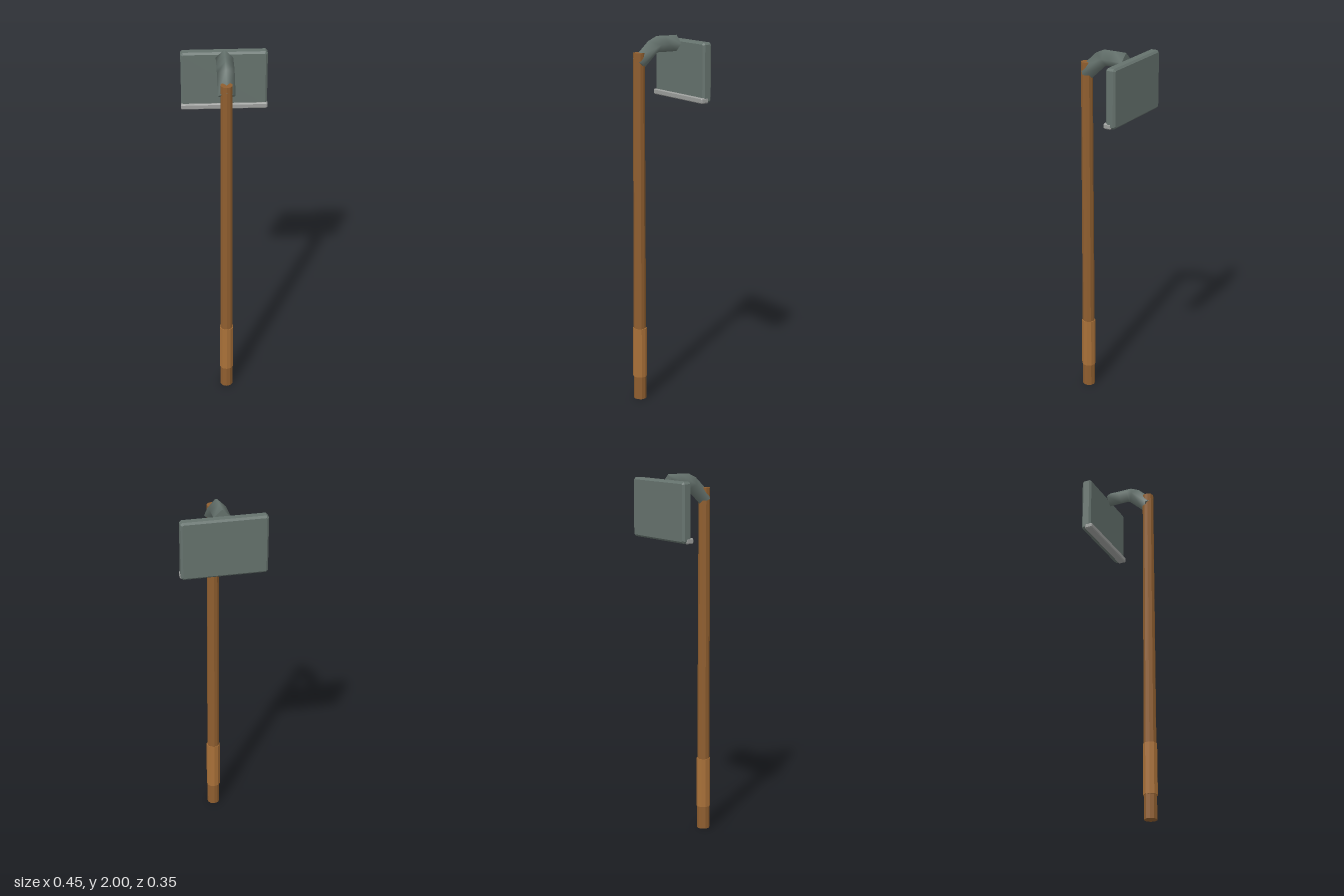
import * as THREE from 'three';

const POLE_Z = 0.135;
const wood = new THREE.MeshStandardMaterial({ color: 0x8f5e2f, flatShading: true });
const gripWood = new THREE.MeshStandardMaterial({ color: 0xa87038, flatShading: true });
const slate = new THREE.MeshStandardMaterial({ color: 0x65726d, flatShading: true });
const slateSmooth = new THREE.MeshStandardMaterial({ color: 0x65726d, side: THREE.DoubleSide });
const paleGrey = new THREE.MeshStandardMaterial({ color: 0x9c9e9c, flatShading: true });

function add(group, name, geometry, material) {
  const mesh = new THREE.Mesh(geometry, material);
  mesh.name = name;
  group.add(mesh);
  return mesh;
}

// Ten-sided upright shaft between two heights
function shaft(y0, y1, r0, r1) {
  return new THREE.CylinderGeometry(r1, r0, y1 - y0, 10).translate(0, (y0 + y1) / 2, POLE_Z);
}

// Slab with chamfered front and back edges and clipped corners
function slab(halfW, y0, y1, z0, z1, bevel, clip) {
  const w = halfW - bevel, b = y0 + bevel, t = y1 - bevel;
  const shape = new THREE.Shape([
    [-w + clip, b], [w - clip, b], [w, b + clip], [w, t - clip],
    [w - clip, t], [-w + clip, t], [-w, t - clip], [-w, b + clip],
  ].map(([x, y]) => new THREE.Vector2(x, y)));
  return new THREE.ExtrudeGeometry(shape, {
    depth: z1 - z0 - 2 * bevel, bevelEnabled: true, bevelSize: bevel,
    bevelThickness: bevel, bevelSegments: 1,
  }).translate(0, 0, z0 + bevel);
}

// Diamond-section tube swept along points [z, y], with closed ends
function bentArm(points, halfW, halfH) {
  const pos = [], idx = [], n = points.length;
  points.forEach(([z, y], i) => {
    const [az, ay] = points[Math.max(i - 1, 0)];
    const [bz, by] = points[Math.min(i + 1, n - 1)];
    const len = Math.hypot(bz - az, by - ay);
    const nz = -(by - ay) / len, ny = (bz - az) / len;
    for (let k = 0; k < 4; k++) {
      const s = Math.round(Math.sin(k * Math.PI / 2)), c = Math.round(Math.cos(k * Math.PI / 2));
      pos.push(s * halfW, y + c * halfH * ny, z + c * halfH * nz);
    }
  });
  for (let i = 0; i < n - 1; i++) {
    for (let k = 0; k < 4; k++) {
      const a = i * 4 + k, b = i * 4 + (k + 1) % 4;
      idx.push(a, a + 4, b, b, a + 4, b + 4);
    }
  }
  // End caps use their own corners so the sides stay smooth
  for (const ring of [0, n - 1]) {
    const o = pos.length / 3;
    pos.push(...pos.slice(ring * 12, ring * 12 + 12));
    if (ring === 0) idx.push(o, o + 1, o + 2, o, o + 2, o + 3);
    else idx.push(o, o + 2, o + 1, o, o + 3, o + 2);
  }
  const geometry = new THREE.BufferGeometry();
  geometry.setAttribute('position', new THREE.Float32BufferAttribute(pos, 3));
  geometry.setIndex(idx);
  geometry.computeVertexNormals();
  return geometry;
}

export function createModel() {
  const model = new THREE.Group();
  model.name = 'signPost';

  // Slightly tapered pole with a thicker sleeve near the foot
  add(model, 'pole', shaft(0, 1.92, 0.035, 0.031), wood);
  add(model, 'sleeve', shaft(0.13, 0.41, 0.039, 0.038), gripWood);

  // Arm rising from the pole top and bending back towards the panel
  add(model, 'arm', bentArm([
    [-0.105, 1.957], [-0.03, 1.957], [0.02, 1.957], [0.05, 1.943], [0.138, 1.861],
  ], 0.045, 0.043), slateSmooth);

  // Panel and the ledge along its lower front edge
  add(model, 'panel', slab(0.225, 1.66, 1.975, -0.175, -0.12, 0.01, 0.005), slate);
  add(model, 'ledge', slab(0.227, 1.657, 1.687, -0.153, -0.108, 0.005, 0.003), paleGrey);

  return model;
}
